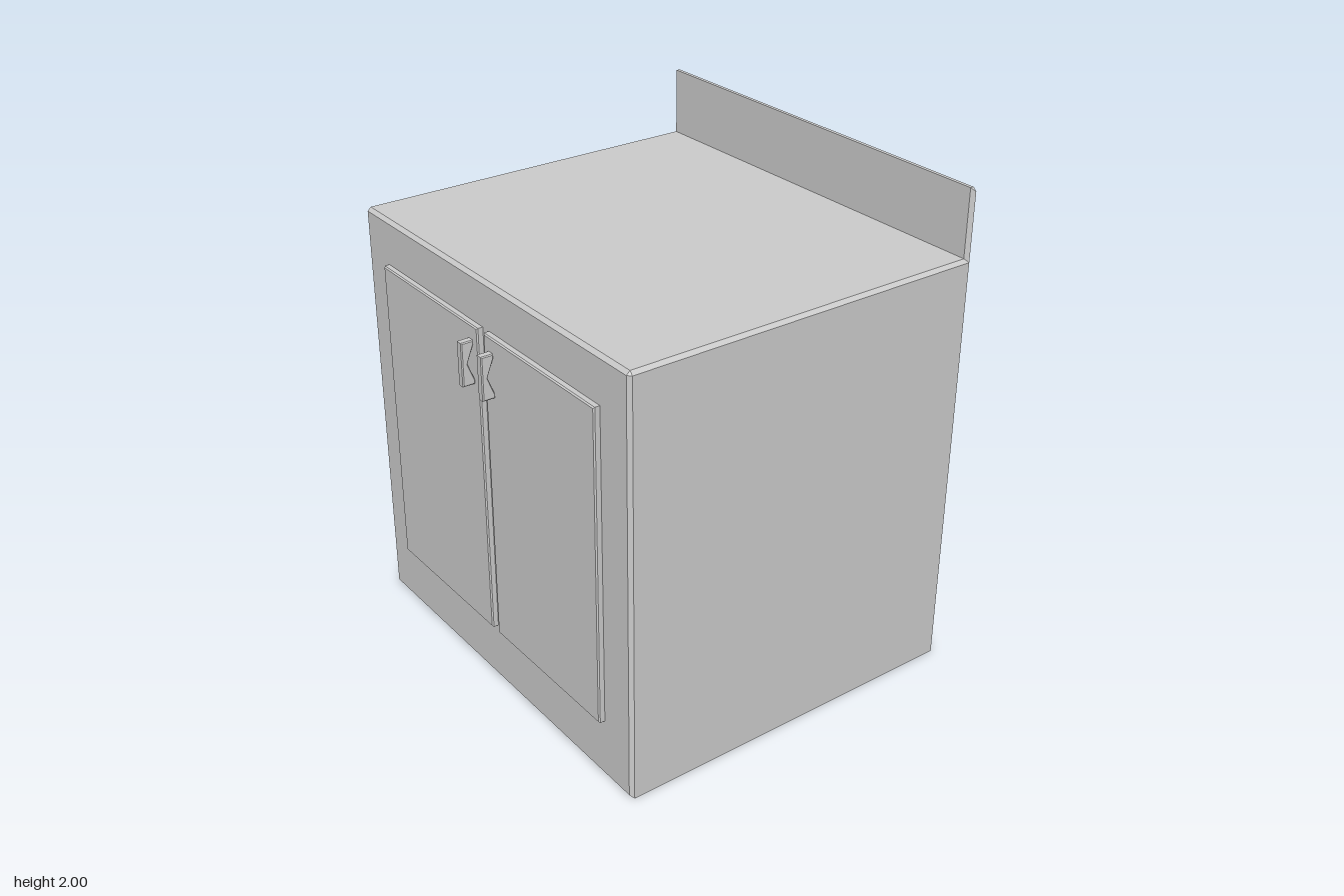
import * as THREE from 'three';
import { ConvexGeometry } from 'three/addons/geometries/ConvexGeometry.js';

const material = new THREE.MeshStandardMaterial({ color: 0xcccccc, flatShading: true });
const W = 0.865, H = 1.73, F = 0.713, B = -0.787, C = 0.014; // half width, height, front, back, chamfer

function addMesh(parent, name, geometry) {
  const mesh = new THREE.Mesh(geometry, material);
  mesh.name = name;
  parent.add(mesh);
  return mesh;
}

// Convex solid from corner points given for +x and mirrored to -x
function mirroredSolid(points) {
  const all = [];
  for (const s of [1, -1]) for (const [x, y, z] of points) all.push(new THREE.Vector3(s * x, y, z));
  return new ConvexGeometry(all);
}

// Door panel with a narrow chamfer around its front face
function doorGeometry(w, h, d, c) {
  const points = [];
  for (const y of [-1, 1]) {
    points.push([w / 2, y * h / 2, 0], [w / 2, y * h / 2, d - c], [w / 2 - c, y * (h / 2 - c), d]);
  }
  return mirroredSolid(points);
}

// Pull handle: side profile with a notch behind the grip, bevelled across its width
function handleGeometry(height, depth, width) {
  const h = height / 2, b = 0.004;
  const shape = new THREE.Shape();
  [[0, -h], [depth, -h], [depth, h], [0, h], [0, h * 0.8], [0.027, 0], [0, -h * 0.8]]
    .forEach(([x, y], i) => (i ? shape.lineTo(x, y) : shape.moveTo(x, y)));
  const geometry = new THREE.ExtrudeGeometry(shape, {
    depth: width - 2 * b, bevelEnabled: true, bevelThickness: b,
    bevelSize: b, bevelOffset: -b, bevelSegments: 1,
  });
  geometry.translate(0, 0, b - width / 2);
  geometry.rotateY(-Math.PI / 2); // profile depth now points to +z
  return geometry;
}

export function createModel() {
  const group = new THREE.Group();
  group.name = 'cabinet';

  // Cabinet body, chamfered along the front and top edges
  addMesh(group, 'cabinetBody', mirroredSolid([
    [W, 0, B], [W, 0, F - C], [W, H - C, F - C], [W, H - C, B],
    [W - C, H, F - C], [W - C, H, B],
    [W - C, C, F], [W - C, H - C, F],
  ]));

  // Thin upright panel along the back
  addMesh(group, 'backsplash', mirroredSolid([
    [W, H - C, B], [W, 2 - C, B], [W - C, 2, B],
    [W - C, H - C, B + 0.015], [W - C, 2, B + 0.015],
  ]));

  // Pair of doors with handles near the centre
  for (const s of [1, -1]) {
    const door = new THREE.Group();
    door.name = s > 0 ? 'leftDoor' : 'rightDoor';
    group.add(door);
    addMesh(door, 'doorPanel', doorGeometry(0.682, 1.29, 0.025, 0.005)).position.set(s * 0.362, 0.9, F);
    addMesh(door, 'handle', handleGeometry(0.176, 0.051, 0.032)).position.set(s * 0.068, 1.4, F + 0.024);
  }
  return group;
}
